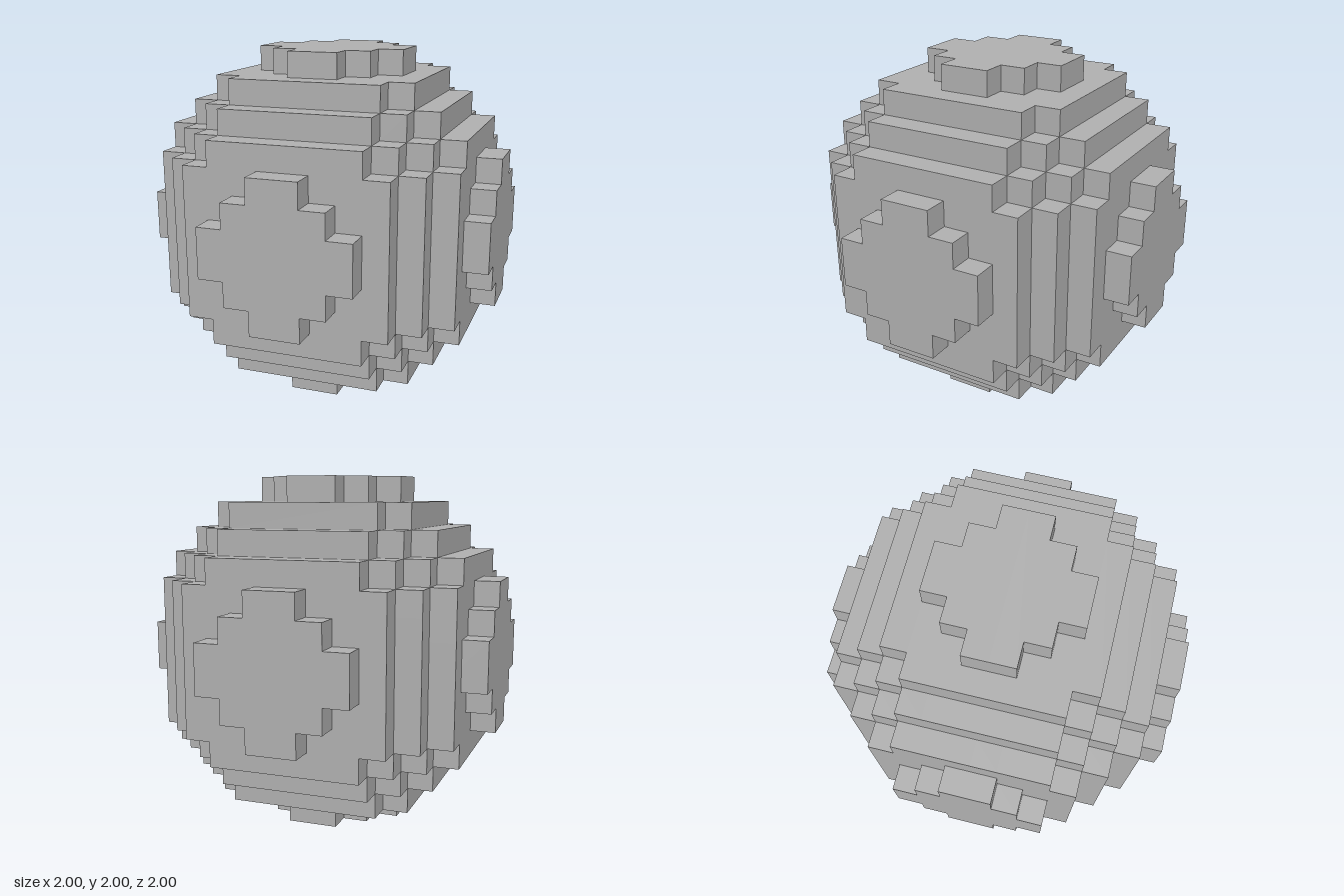
import * as THREE from 'three';
import { mergeGeometries } from 'three/addons/utils/BufferGeometryUtils.js';

const RADIUS = 7;          // blocks from centre to surface
const BLOCK = 1 / RADIUS;  // edge of one block

// Number of blocks in front of the middle plane at column (i, j)
function depthAt(i, j) {
  const rest = RADIUS ** 2 - (i + 0.5) ** 2 - (j + 0.5) ** 2;
  let depth = 0;
  while ((depth + 0.5) ** 2 < rest) depth++;
  return depth;
}

// All block faces that look towards +z, one strip per run of equal depth
function buildSide() {
  const strips = [];
  for (let j = -RADIUS; j < RADIUS; j++) {
    let start = -RADIUS;
    for (let i = -RADIUS; i < RADIUS; i++) {
      const depth = depthAt(i, j);
      if (i + 1 < RADIUS && depthAt(i + 1, j) === depth) continue;
      const width = i + 1 - start;
      if (depth > 0) {
        strips.push(new THREE.PlaneGeometry(width * BLOCK, BLOCK)
          .translate((start + width / 2) * BLOCK, (j + 0.5) * BLOCK, depth * BLOCK));
      }
      start = i + 1;
    }
  }
  return mergeGeometries(strips);
}

export function createModel() {
  const model = new THREE.Group();
  model.name = 'blockSphere';
  const grey = new THREE.MeshStandardMaterial({ color: 0xb0b0b0 });
  grey.name = 'stone grey';

  // The same stepped side, turned towards each of the six directions
  const side = buildSide();
  const turns = {
    frontSide: [0, 0],
    leftSide: [0, Math.PI / 2],
    backSide: [0, Math.PI],
    rightSide: [0, -Math.PI / 2],
    topSide: [-Math.PI / 2, 0],
    bottomSide: [Math.PI / 2, 0],
  };
  for (const [name, [rx, ry]] of Object.entries(turns)) {
    const mesh = new THREE.Mesh(side, grey);
    mesh.name = name;
    mesh.rotation.set(rx, ry, 0);
    mesh.position.y = 1;
    model.add(mesh);
  }
  return model;
}
